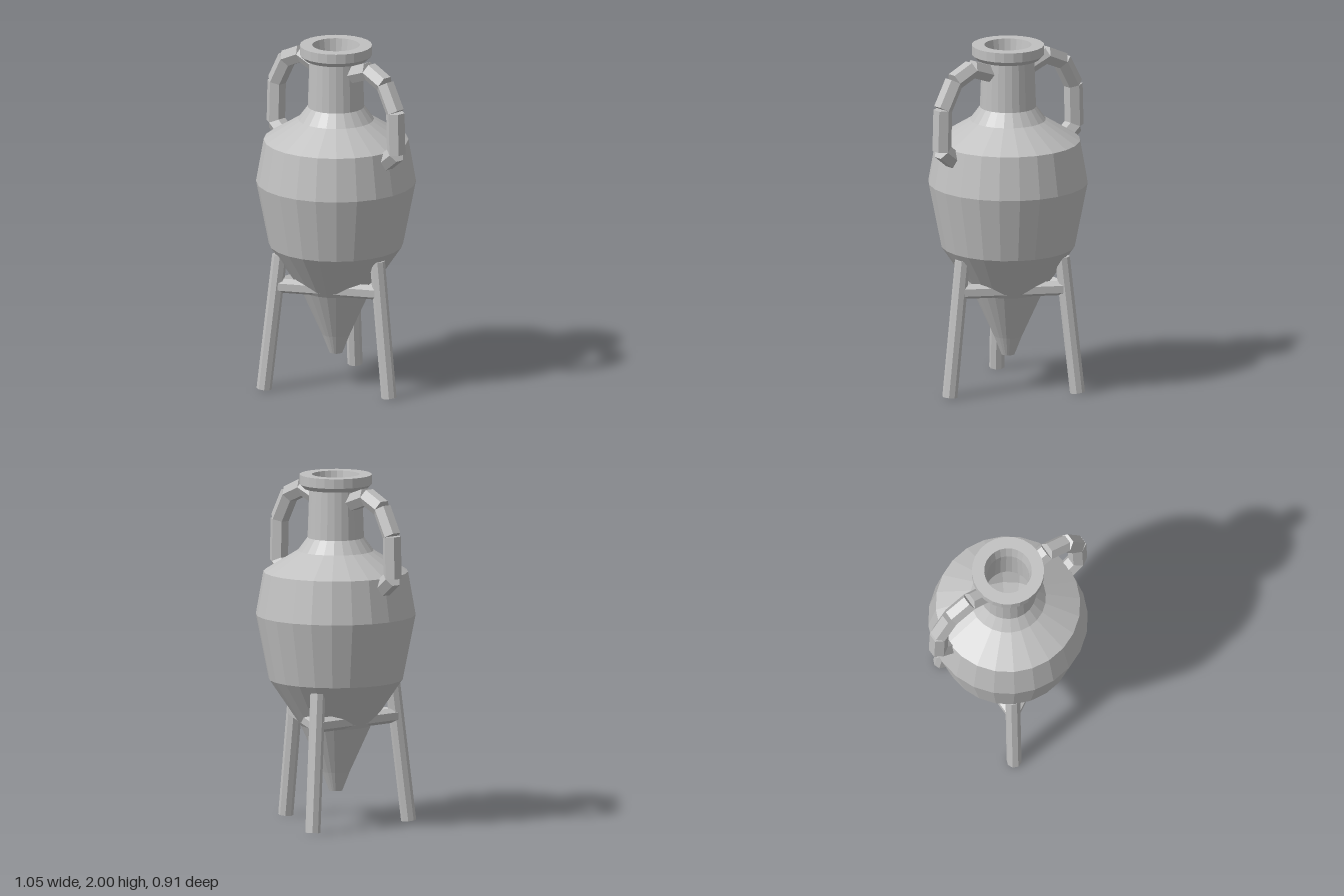
import * as THREE from 'three';

export function createModel() {
  const group = new THREE.Group();
  const clay = new THREE.MeshStandardMaterial({ color: 0xc0c0c0, flatShading: true, side: THREE.DoubleSide });
  clay.name = 'grey clay';

  // Straight faceted rod between two points
  const rod = (name, a, b, radius, sides) => {
    const dir = b.clone().sub(a);
    const mesh = new THREE.Mesh(new THREE.CylinderGeometry(radius, radius, dir.length(), sides), clay);
    mesh.position.copy(a).add(b).multiplyScalar(0.5);
    mesh.quaternion.setFromUnitVectors(new THREE.Vector3(0, 1, 0), dir.normalize());
    mesh.name = name;
    return mesh;
  };

  // Jar: outer wall up to the rim, then the inner wall down to the open foot
  const profile = [
    [0.037, 0.19], [0.08, 0.3], [0.2, 0.565], [0.38, 0.83], [0.453, 1.2], [0.41, 1.445],
    [0.215, 1.565], [0.16, 1.64], [0.15, 1.92], [0.18, 1.92], [0.205, 1.945], [0.205, 2],
    [0.135, 2], [0.12, 1.91], [0.13, 1.63], [0.19, 1.545], [0.385, 1.43], [0.43, 1.2],
    [0.355, 0.84], [0.18, 0.58], [0.037, 0.19],
  ].map(([r, y]) => new THREE.Vector2(r, y));
  const jar = new THREE.Mesh(new THREE.LatheGeometry(profile, 24), clay);
  jar.name = 'jar';
  group.add(jar);

  // Handles made of short hexagonal pieces
  const joints = [[0.14, 1.855], [0.265, 1.9], [0.39, 1.845], [0.473, 1.695], [0.48, 1.455], [0.38, 1.375]];
  for (const side of [1, -1]) {
    const handle = new THREE.Group();
    handle.name = side > 0 ? 'leftHandle' : 'rightHandle';
    const points = joints.map(([x, y]) => new THREE.Vector3(side * x, y, 0));
    for (let i = 0; i < points.length - 1; i++) {
      handle.add(rod('handlePiece', points[i], points[i + 1], 0.054, 6));
    }
    group.add(handle);
  }

  // Tripod stand: splayed legs joined by a triangle of braces
  const stand = new THREE.Group();
  stand.name = 'stand';
  const around = (i, r, y) => {
    const angle = (i * Math.PI * 2) / 3;
    return new THREE.Vector3(r * Math.cos(angle), y, r * Math.sin(angle));
  };
  for (let i = 0; i < 3; i++) {
    stand.add(rod('leg', around(i, 0.422, 0.006), around(i, 0.33, 0.79), 0.043, 8));
    stand.add(rod('brace', around(i, 0.35, 0.61), around(i + 1, 0.35, 0.61), 0.042, 6));
  }
  group.add(stand);

  return group;
}
